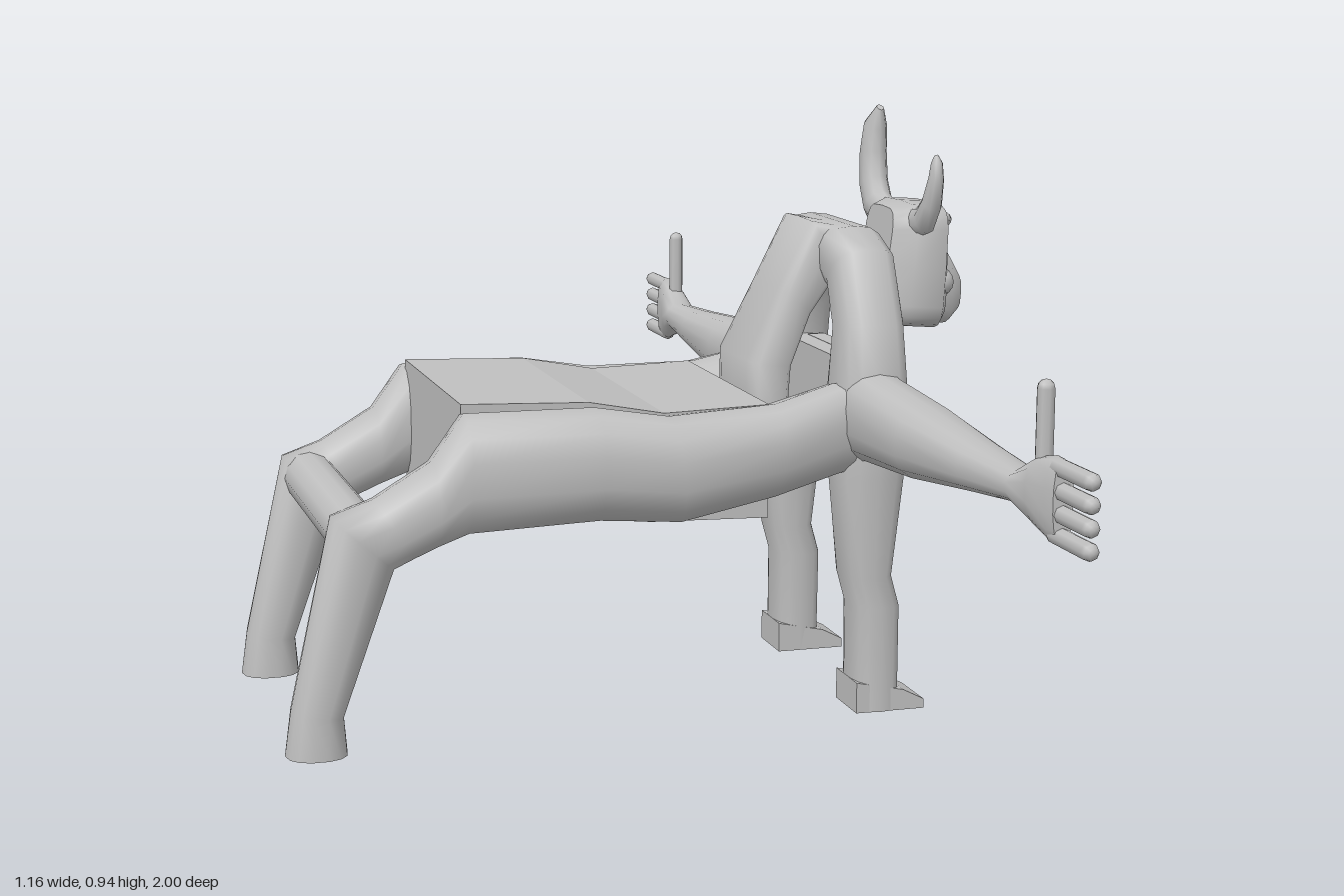
import * as THREE from 'three';

const grey = new THREE.MeshStandardMaterial({ color: 0xc0c0c0 });
grey.name = 'plain grey';

const V = (x, y, z) => new THREE.Vector3(x, y, z);

// Skin over cross-sections. Each ring is [P, Q, W]: two opposite points and
// the half-width vector across them. e < 1 makes the sections squarer.
function loft(rings, sides = 14, e = 0.85) {
  const pos = [], idx = [];
  const pw = (v) => Math.sign(v) * Math.pow(Math.abs(v), e);
  const addRing = ([P, Q, W]) => {
    const c = P.clone().add(Q).multiplyScalar(0.5);
    const u = P.clone().sub(Q).multiplyScalar(0.5);
    for (let i = 0; i < sides; i++) {
      const t = (i / sides) * Math.PI * 2;
      const p = c.clone().addScaledVector(u, pw(Math.cos(t))).addScaledVector(W, pw(Math.sin(t)));
      pos.push(p.x, p.y, p.z);
    }
    return c;
  };
  rings.forEach(addRing);
  for (let r = 0; r < rings.length - 1; r++) {
    for (let i = 0; i < sides; i++) {
      const a = r * sides + i, b = r * sides + (i + 1) % sides;
      idx.push(a, b, a + sides, b, b + sides, a + sides);
    }
  }
  // end caps with their own vertices, so the rims stay sharp
  [rings[0], rings[rings.length - 1]].forEach((ring, k) => {
    const start = pos.length / 3;
    const c = addRing(ring);
    pos.push(c.x, c.y, c.z);
    for (let i = 0; i < sides; i++) {
      const a = start + i, b = start + (i + 1) % sides, m = start + sides;
      if (k) idx.push(m, a, b); else idx.push(m, b, a);
    }
  });
  // turn the faces outwards if the signed volume is negative
  let vol = 0;
  const at = (i) => V(pos[i * 3], pos[i * 3 + 1], pos[i * 3 + 2]);
  for (let i = 0; i < idx.length; i += 3) {
    vol += at(idx[i]).dot(at(idx[i + 1]).cross(at(idx[i + 2])));
  }
  if (vol < 0) idx.reverse();
  const g = new THREE.BufferGeometry();
  g.setAttribute('position', new THREE.Float32BufferAttribute(pos, 3));
  g.setIndex(idx);
  g.computeVertexNormals();
  return g;
}

// Side-outline rings: [topX, topY, bottomX, bottomY, centreZ, halfZ]
const sideRings = (rows, s = 1) => rows.map(([ax, ay, bx, by, z, w]) =>
  [V(ax, ay, z * s), V(bx, by, z * s), V(0, 0, w)]);

// Extruded side profile, centred on z = 0
function profile(points, depth) {
  const shape = new THREE.Shape(points.map(([x, y]) => new THREE.Vector2(x, y)));
  return new THREE.ExtrudeGeometry(shape, { depth, bevelEnabled: false }).translate(0, 0, -depth / 2);
}

export function createModel() {
  const model = new THREE.Group();
  model.name = 'creatureBench';
  const add = (name, geo, x = 0, y = 0, z = 0) => {
    const m = new THREE.Mesh(geo, grey);
    m.name = name;
    m.position.set(x, y, z);
    model.add(m);
    return m;
  };

  // long side body running down into the rear leg
  const body = [
    [-0.58, 0.01, -0.485, 0.01, 0.23, 0.045],
    [-0.57, 0.08, -0.49, 0.07, 0.23, 0.045],
    [-0.505, 0.375, -0.41, 0.29, 0.23, 0.05],
    [-0.44, 0.397, -0.38, 0.305, 0.23, 0.055],
    [-0.35, 0.45, -0.345, 0.32, 0.23, 0.06],
    [-0.3, 0.52, -0.3, 0.335, 0.23, 0.066],
    [-0.1, 0.52, -0.1, 0.345, 0.235, 0.077],
    [0.02, 0.5, 0.03, 0.335, 0.235, 0.075],
    [0.2, 0.505, 0.19, 0.36, 0.21, 0.07],
    [0.3, 0.53, 0.3, 0.385, 0.195, 0.056],
    [0.38, 0.53, 0.38, 0.4, 0.185, 0.05],
  ];
  // outstretched arm: [z, topY, bottomY, centreX, halfX]
  const arm = [
    [0.17, 0.56, 0.39, 0.362, 0.058],
    [0.25, 0.547, 0.41, 0.362, 0.059],
    [0.45, 0.535, 0.425, 0.36, 0.058],
    [0.65, 0.52, 0.45, 0.357, 0.042],
    [0.79, 0.512, 0.465, 0.357, 0.03],
    [0.84, 0.54, 0.445, 0.359, 0.026],
    [0.885, 0.55, 0.43, 0.36, 0.019],
    [0.905, 0.548, 0.432, 0.36, 0.015],
  ];
  const foot = profile([[0.335, 0], [0.45, 0], [0.45, 0.015], [0.415, 0.033], [0.335, 0.05]], 0.092);
  const finger = new THREE.CapsuleGeometry(0.013, 0.104, 3, 8);

  for (const s of [1, -1]) {
    const side = s > 0 ? 'left' : 'right';
    add(side + 'Body', loft(sideRings(body, s)));
    add(side + 'Arm', loft(arm.map(([z, t, b, x, w]) => [V(x, t, z * s), V(x, b, z * s), V(w, 0, 0)])));
    add(side + 'FrontFoot', foot, 0, 0, 0.186 * s);
    for (let i = 0; i < 4; i++) {
      add(side + 'Finger', finger, 0.36, 0.535 - i * 0.031, 0.935 * s).rotation.x = Math.PI / 2;
    }
    add(side + 'Thumb', finger, 0.362, 0.58, 0.838 * s);
  }

  // front legs joined over the top as an arch: [outerY, outerZ, innerY, innerZ, centreX, halfX]
  const half = [
    [0, 0.235, 0, 0.14, 0.375, 0.04],
    [0.17, 0.235, 0.17, 0.135, 0.375, 0.04],
    [0.22, 0.235, 0.22, 0.135, 0.361, 0.04],
    [0.38, 0.245, 0.38, 0.125, 0.362, 0.057],
    [0.52, 0.25, 0.52, 0.115, 0.363, 0.059],
    [0.62, 0.215, 0.61, 0.11, 0.37, 0.054],
    [0.735, 0.165, 0.66, 0.085, 0.37, 0.053],
    [0.765, 0.1, 0.675, 0.06, 0.367, 0.054],
  ];
  const mirrored = half.map(([a, b, c, d, x, w]) => [a, -b, c, -d, x, w]).reverse();
  add('frontLegArch', loft([...half, ...mirrored].map(([oy, oz, iy, iz, x, w]) =>
    [V(x, oy, oz), V(x, iy, iz), V(w, 0, 0)]), 14, 0.75));

  // padded bed between the bodies
  add('bed', profile([[-0.3, 0.335], [-0.1, 0.34], [0, 0.33], [0.19, 0.325],
    [0.19, 0.505], [0.02, 0.5], [-0.1, 0.523], [-0.3, 0.53]], 0.42));

  // rear crossbar between the hips
  add('rearCrossbar', new THREE.CylinderGeometry(0.042, 0.042, 0.42, 12), -0.463, 0.342, 0)
    .rotation.x = Math.PI / 2;

  // curved headrest rising from the bed to the arch
  add('headrest', loft(sideRings([
    [0.2, 0.48, 0.27, 0.48, 0, 0.1],
    [0.2, 0.55, 0.275, 0.54, 0, 0.098],
    [0.255, 0.665, 0.31, 0.62, 0, 0.085],
    [0.31, 0.772, 0.345, 0.67, 0, 0.09],
    [0.415, 0.752, 0.405, 0.67, 0, 0.09],
  ]), 16, 0.45));

  // ribbed chest panel between the front legs
  add('chestPanel', new THREE.BoxGeometry(0.04, 0.19, 0.23), 0.35, 0.465, 0);
  for (const s of [1, -1]) {
    add('chestPanelRim', new THREE.BoxGeometry(0.03, 0.19, 0.015), 0.38, 0.465, 0.1 * s);
    add('chestPanelRim', new THREE.BoxGeometry(0.03, 0.015, 0.2), 0.38, 0.465 + 0.088 * s, 0);
  }
  for (const z of [-0.055, 0, 0.055]) {
    add('chestRib', new THREE.CapsuleGeometry(0.02, 0.1, 4, 10), 0.372, 0.465, z);
  }

  // neck and squared head with a blunt muzzle
  add('neck', new THREE.CylinderGeometry(0.03, 0.03, 0.08, 12), 0.43, 0.7, 0).rotation.z = Math.PI / 2;
  add('head', loft(sideRings([
    [0.455, 0.785, 0.43, 0.6, 0, 0.06],
    [0.485, 0.793, 0.465, 0.592, 0, 0.095],
    [0.535, 0.79, 0.525, 0.587, 0, 0.095],
    [0.538, 0.775, 0.538, 0.6, 0, 0.08],
  ]), 20, 0.4));
  add('muzzle', loft(sideRings([
    [0.52, 0.735, 0.52, 0.588, 0, 0.07],
    [0.555, 0.712, 0.555, 0.59, 0, 0.066],
    [0.577, 0.675, 0.575, 0.61, 0, 0.05],
  ]), 16, 0.6));
  for (const s of [1, -1]) {
    const brow = add('brow', new THREE.SphereGeometry(0.025, 12, 8), 0.532, 0.762, 0.05 * s);
    brow.scale.set(0.8, 0.6, 1.4);
    brow.rotation.x = -0.3 * s;
    add('cheek', new THREE.SphereGeometry(0.024, 12, 8), 0.53, 0.665, 0.066 * s);
  }

  // unequal curved horns: [y, z, radius]
  const horn = (name, pts) => add(name, loft(pts.map(([y, z, r], i) => {
    const a = pts[Math.max(i - 1, 0)], b = pts[Math.min(i + 1, pts.length - 1)];
    const n = V(0, -(b[1] - a[1]), b[0] - a[0]).normalize().multiplyScalar(r);
    const p = V(0.488 + (y - 0.76) * 0.04, y, z);
    return [p.clone().add(n), p.clone().sub(n), V(r * 0.75, 0, 0)];
  }), 10, 1));
  horn('leftHorn', [[0.765, 0.07, 0.024], [0.77, 0.1, 0.024], [0.8, 0.125, 0.021],
    [0.84, 0.137, 0.016], [0.865, 0.136, 0.012], [0.877, 0.132, 0.004]]);
  horn('rightHorn', [[0.76, -0.07, 0.03], [0.775, -0.105, 0.032], [0.81, -0.13, 0.031],
    [0.86, -0.139, 0.029], [0.905, -0.135, 0.025], [0.935, -0.118, 0.008]]);

  return model;
}
